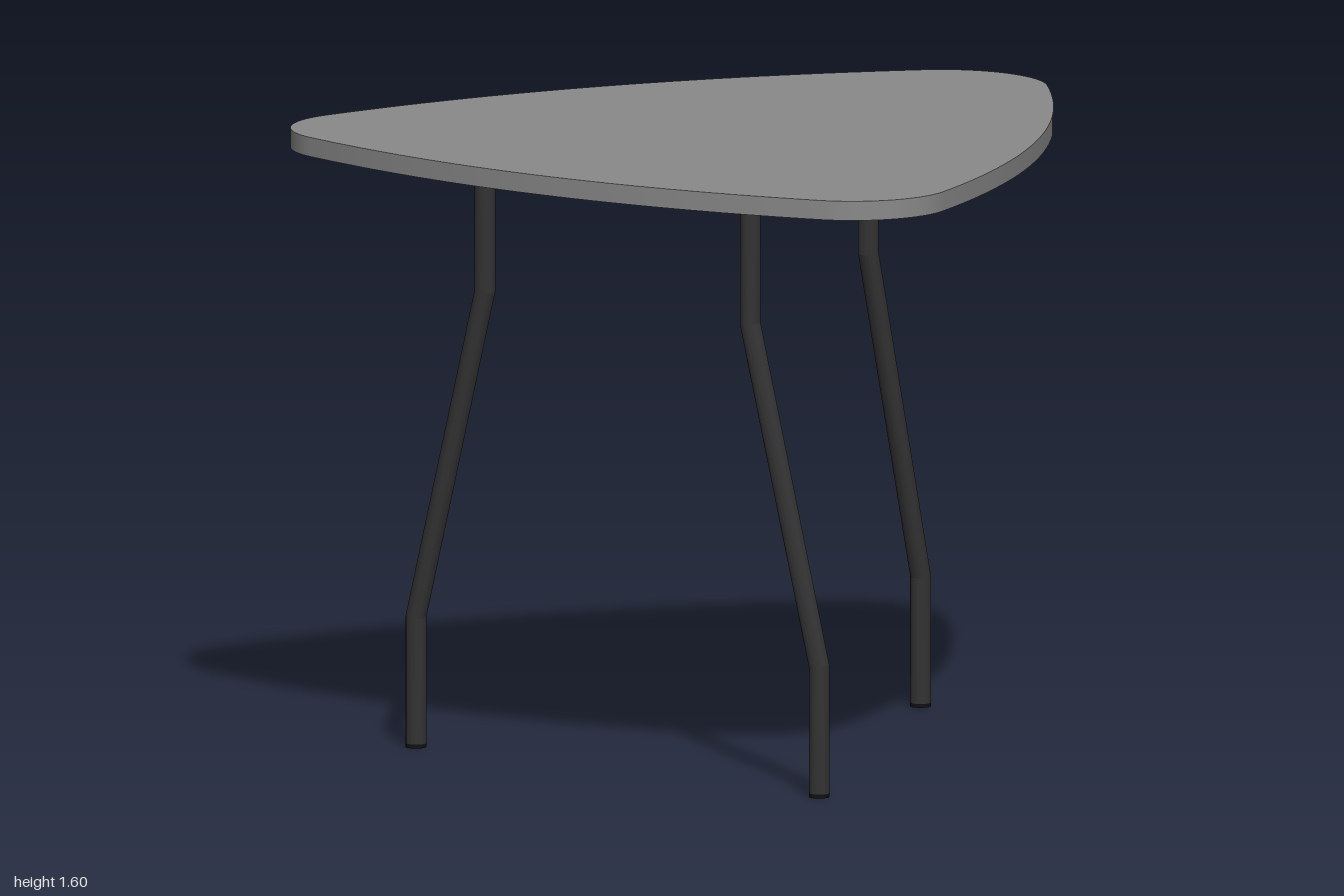
import * as THREE from 'three';
import { toCreasedNormals } from 'three/addons/utils/BufferGeometryUtils.js';

const TUBE = 0.0265;   // radius of all steel tubes
const FRAME_Y = 1.541; // axis height of the frame under the top

const topMaterial = new THREE.MeshStandardMaterial({ color: 0x8a8a8a });
const steelMaterial = new THREE.MeshStandardMaterial({ color: 0x333333 });
const footMaterial = new THREE.MeshStandardMaterial({ color: 0x111111 });

function addMesh(parent, name, geometry, material) {
  const mesh = new THREE.Mesh(geometry, material);
  mesh.name = name;
  parent.add(mesh);
  return mesh;
}

// Rounded triangle: bowed sides joined by corner arcs, drawn as (x, z)
function tabletopGeometry() {
  const shape = new THREE.Shape();
  const r = 0.255, cx = 0.745, cz = 0.635;
  const apexR = 0.274, apexZ = -0.726;
  const sideAngle = Math.atan2(-0.235, 0.97);
  const frontAngle = Math.atan2(0.959, 0.282);
  const apexAngle = Math.atan2(-0.68, 0.73);
  shape.absarc(cx, cz, r, sideAngle, frontAngle, false);
  shape.quadraticCurveTo(0, 1.12, -cx + r * Math.cos(Math.PI - frontAngle), cz + r * Math.sin(frontAngle));
  shape.absarc(-cx, cz, r, Math.PI - frontAngle, Math.PI - sideAngle, false);
  shape.quadraticCurveTo(-0.794, -0.27, -apexR * Math.cos(apexAngle), apexZ + apexR * Math.sin(apexAngle));
  shape.absarc(0, apexZ, apexR, -Math.PI - apexAngle, apexAngle, false);
  shape.quadraticCurveTo(0.794, -0.27, cx + r * Math.cos(sideAngle), cz + r * Math.sin(sideAngle));
  const geometry = new THREE.ExtrudeGeometry(shape, { depth: 0.05, bevelEnabled: false, curveSegments: 28 });
  geometry.rotateX(Math.PI / 2).translate(0, 1.6, 0);
  return toCreasedNormals(geometry, 0.5);
}

// Cylinder whose rings follow the bends; the two bends are mitred. Outward is +x.
function legGeometry() {
  const rings = [
    { y: 0.01, x: 0.222, tilt: 0 },
    { y: 0.34, x: 0.222, tilt: 0.123 },
    { y: 1.21, x: 0, tilt: 0.123 },
    { y: 1.555, x: 0, tilt: 0 },
  ];
  const geometry = new THREE.CylinderGeometry(TUBE, TUBE, 3, 32, 3);
  const p = geometry.attributes.position;
  for (let i = 0; i < p.count; i++) {
    const ring = rings[Math.round(p.getY(i) + 1.5)];
    const u = p.getX(i);
    p.setXYZ(i, u + ring.x, ring.y + u * ring.tilt, p.getZ(i));
  }
  return toCreasedNormals(geometry, 0.22);
}

export function createModel() {
  const model = new THREE.Group();
  model.name = 'table';
  addMesh(model, 'tabletop', tabletopGeometry(), topMaterial);

  // Three bent legs, each leaning away from its corner of the frame
  const corners = [
    { name: 'leftLeg', x: 0.427, z: 0.65, turn: 0 },
    { name: 'rightLeg', x: -0.427, z: 0.65, turn: Math.PI },
    { name: 'backLeg', x: 0, z: -0.417, turn: Math.PI / 2 },
  ];
  const legShape = legGeometry();
  const footShape = new THREE.CylinderGeometry(TUBE, TUBE, 0.01, 32);
  for (const { name, x, z, turn } of corners) {
    const leg = new THREE.Group();
    leg.name = name;
    leg.position.set(x, 0, z);
    leg.rotation.y = turn;
    addMesh(leg, 'legTube', legShape, steelMaterial);
    addMesh(leg, 'footCap', footShape, footMaterial).position.set(0.222, 0.005, 0);
    model.add(leg);
  }

  // Triangular frame joining the leg tops, let slightly into the tabletop
  const frame = new THREE.Group();
  frame.name = 'frame';
  corners.forEach((a, i) => {
    const b = corners[(i + 1) % 3];
    const start = new THREE.Vector3(a.x, FRAME_Y, a.z);
    const end = new THREE.Vector3(b.x, FRAME_Y, b.z);
    const span = end.clone().sub(start);
    const bar = addMesh(frame, 'frameBar', new THREE.CylinderGeometry(TUBE, TUBE, span.length(), 32), steelMaterial);
    bar.position.copy(start).add(end).multiplyScalar(0.5);
    bar.quaternion.setFromUnitVectors(new THREE.Vector3(0, 1, 0), span.normalize());
  });
  model.add(frame);
  return model;
}
